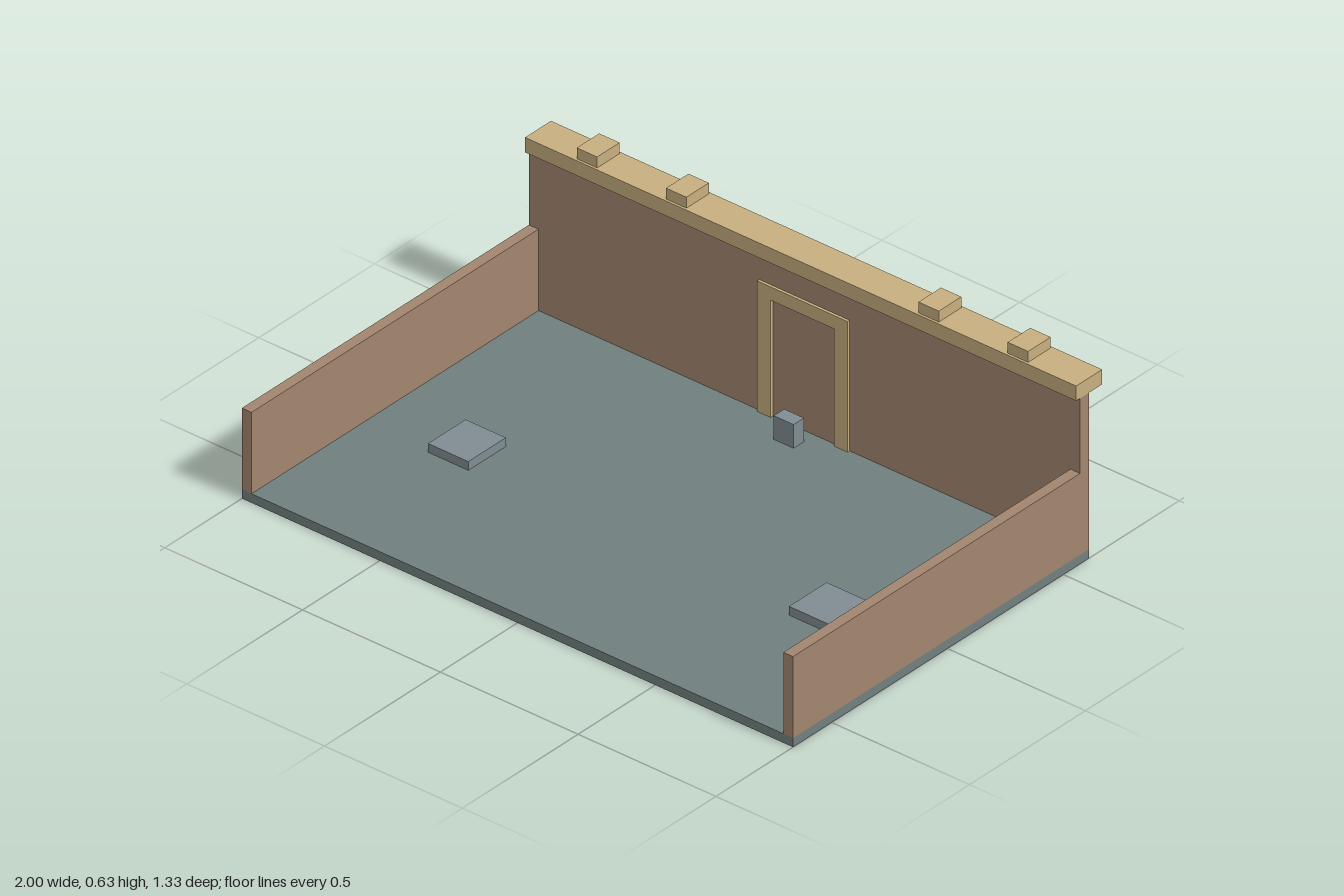
import * as THREE from 'three';

const paint = (color) => new THREE.MeshStandardMaterial({ color });

export function createModel() {
  const model = new THREE.Group();
  model.name = 'walledCourtyard';
  const clay = paint(0xa2856e);
  const sand = paint(0xc7ae7e);
  const slate = paint(0x70807e);
  const stone = paint(0x808c92);

  // Box given by its extents along each axis
  const block = (name, material, [x0, x1], [y0, y1], [z0, z1], parent = model) => {
    const mesh = new THREE.Mesh(new THREE.BoxGeometry(x1 - x0, y1 - y0, z1 - z0), material);
    mesh.position.set((x0 + x1) / 2, (y0 + y1) / 2, (z0 + z1) / 2);
    mesh.name = name;
    parent.add(mesh);
    return mesh;
  };
  const around = (centre, width) => [centre - width / 2, centre + width / 2];

  const floorTop = 0.03;

  // Floor and back wall with its coping
  block('floor', slate, [-1, 1], [0, floorTop], [-0.61, 0.667]);
  block('backWall', clay, [-1, 1], [floorTop, 0.555], [-0.61, -0.572]);
  block('coping', sand, [-1, 1], [0.545, 0.594], [-0.667, -0.555]);

  for (const [side, label] of [[1, 'left'], [-1, 'right']]) {
    // Low side walls and paving slabs
    block(label + 'SideWall', clay, around(side * 0.9825, 0.035), [floorTop, 0.298], [-0.572, 0.667]);
    block(label + 'Slab', stone, around(side * 0.655, 0.146), [floorTop, 0.059], [0.025, 0.187]);

    // Buttresses behind the wall, each with a cap block on the coping
    for (const x of [0.458, 0.782]) {
      block(label + 'Buttress', clay, around(side * x, 0.055), [floorTop, 0.555], [-0.65, -0.61]);
      block(label + 'CapBlock', sand, around(side * x, 0.074), [0.594, 0.63], [-0.66, -0.563]);
    }
  }

  // Door surround standing proud on both faces of the wall
  const shape = new THREE.Shape([
    [-0.164, floorTop], [-0.115, floorTop], [-0.115, 0.416], [0.115, 0.416],
    [0.115, floorTop], [0.164, floorTop], [0.164, 0.46], [-0.164, 0.46],
  ].map(([x, y]) => new THREE.Vector2(x, y)));
  const frame = new THREE.Mesh(
    new THREE.ExtrudeGeometry(shape, { depth: 0.097, bevelEnabled: false }), sand);
  frame.position.z = -0.66;
  frame.name = 'doorFrame';
  model.add(frame);

  // Small post in front of the door
  block('doorPost', stone, [-0.036, 0.036], [floorTop, 0.108], [-0.527, -0.482]);

  return model;
}
